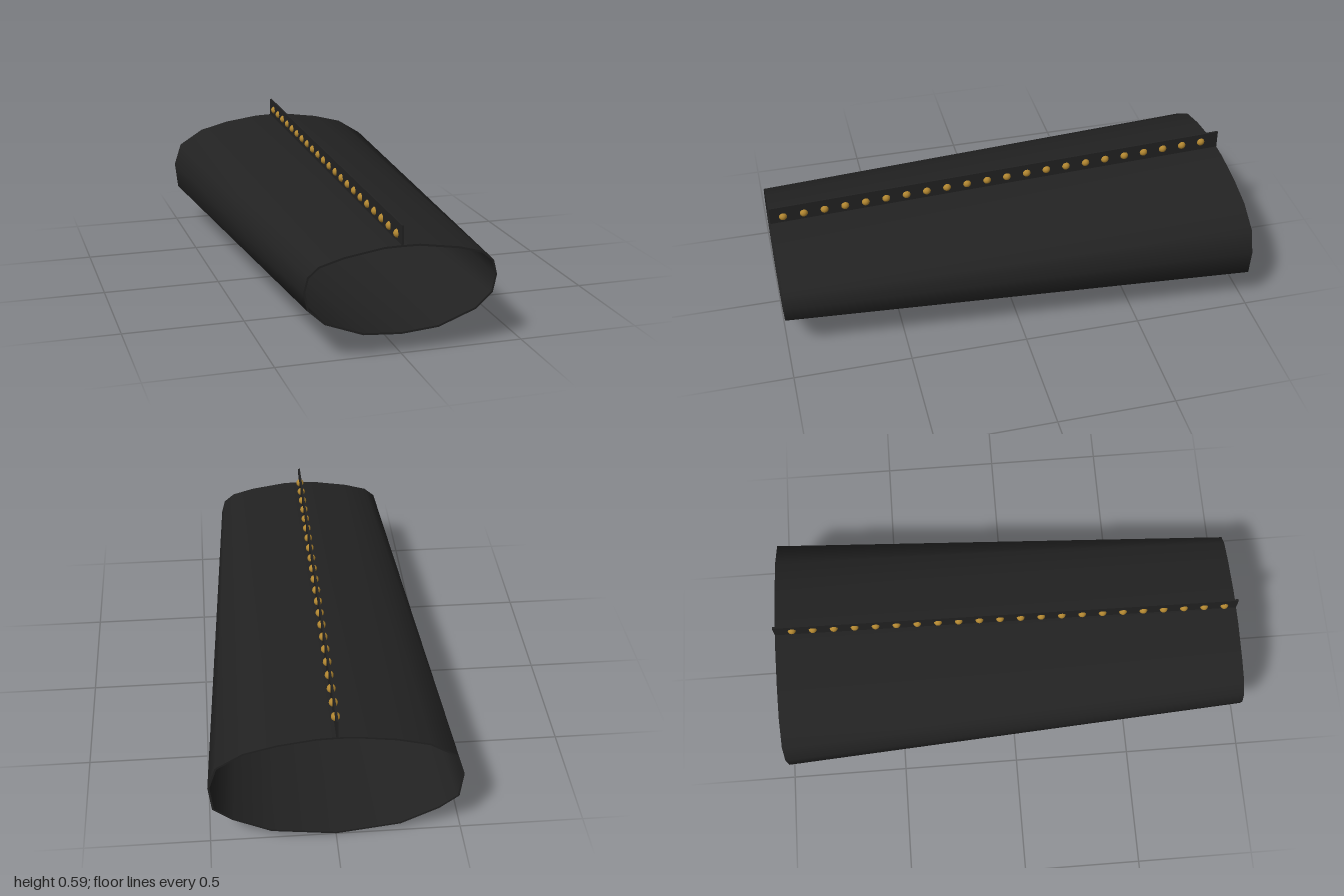
import * as THREE from 'three';
import { mergeGeometries } from 'three/addons/utils/BufferGeometryUtils.js';

// Right half of each end section, from top centre to bottom centre
const FRONT_HALF = [[0, 0.437], [0.07, 0.436], [0.23, 0.411], [0.328, 0.383], [0.373, 0.344],
  [0.388, 0.284], [0.373, 0.213], [0.305, 0.15], [0.152, 0.092], [0, 0.08]];
const BACK_HALF = [[0, 0.511], [0.08, 0.508], [0.23, 0.487], [0.36, 0.453], [0.468, 0.385],
  [0.5, 0.287], [0.487, 0.171], [0.41, 0.11], [0.257, 0.036], [0, 0.002]];
const WALL = 0.008;

// Mirror a half section into a closed ring at depth z
function ring(half, z) {
  const mirrored = half.slice(1, -1).reverse().map(([x, y]) => [-x, y]);
  return [...half, ...mirrored].map(([x, y]) => new THREE.Vector3(x, y, z));
}

// Move a ring inwards by the wall thickness
function inset(points) {
  const n = points.length;
  return points.map((p, i) => {
    const t = points[(i + 1) % n].clone().sub(points[(i + n - 1) % n]).normalize();
    return new THREE.Vector3(p.x + t.y * WALL, p.y - t.x * WALL, p.z);
  });
}

// Join two rings with a smooth band of faces
function band(a, b) {
  const n = a.length;
  const index = [];
  for (let i = 0; i < n; i++) {
    const j = (i + 1) % n;
    index.push(i, j, n + i, j, n + j, n + i);
  }
  const geometry = new THREE.BufferGeometry().setFromPoints([...a, ...b]);
  geometry.setIndex(index);
  geometry.computeVertexNormals();
  return geometry;
}

export function createModel() {
  const model = new THREE.Group();
  model.name = 'rivetedSleeve';

  const leather = new THREE.MeshStandardMaterial({ color: 0x222222 });
  leather.name = 'black leather';
  const brass = new THREE.MeshStandardMaterial({ color: 0xb08530 });
  brass.name = 'brass';

  // Tapered open sleeve: outside, inside and the two rims
  const front = ring(FRONT_HALF, 1);
  const back = ring(BACK_HALF, -1);
  const frontIn = inset(front);
  const backIn = inset(back);
  const sleeve = new THREE.Mesh(mergeGeometries([
    band(front, back), band(backIn, frontIn), band(frontIn, front), band(back, backIn),
  ]), leather);
  sleeve.name = 'sleeve';
  model.add(sleeve);

  // Upright seam along the top, drawn in side profile
  const profile = new THREE.Shape([[-1, 0.431], [1, 0.505], [1, 0.59], [-1, 0.514]]
    .map(([u, y]) => new THREE.Vector2(u, y)));
  const seamGeometry = new THREE.ExtrudeGeometry(profile, { depth: 0.008, bevelEnabled: false });
  seamGeometry.translate(0, 0, -0.004).rotateY(Math.PI / 2);
  const seam = new THREE.Mesh(seamGeometry, leather);
  seam.name = 'seam';
  model.add(seam);

  // Row of rivets through the seam
  const rivets = new THREE.Group();
  rivets.name = 'rivets';
  const rivetGeometry = new THREE.SphereGeometry(0.018, 16, 12);
  const count = 22;
  for (let i = 0; i < count; i++) {
    const t = i / (count - 1);
    const rivet = new THREE.Mesh(rivetGeometry, brass);
    rivet.name = 'rivet';
    rivet.position.set(0, THREE.MathUtils.lerp(0.467, 0.548, t), THREE.MathUtils.lerp(0.944, -0.922, t));
    rivets.add(rivet);
  }
  model.add(rivets);

  return model;
}
